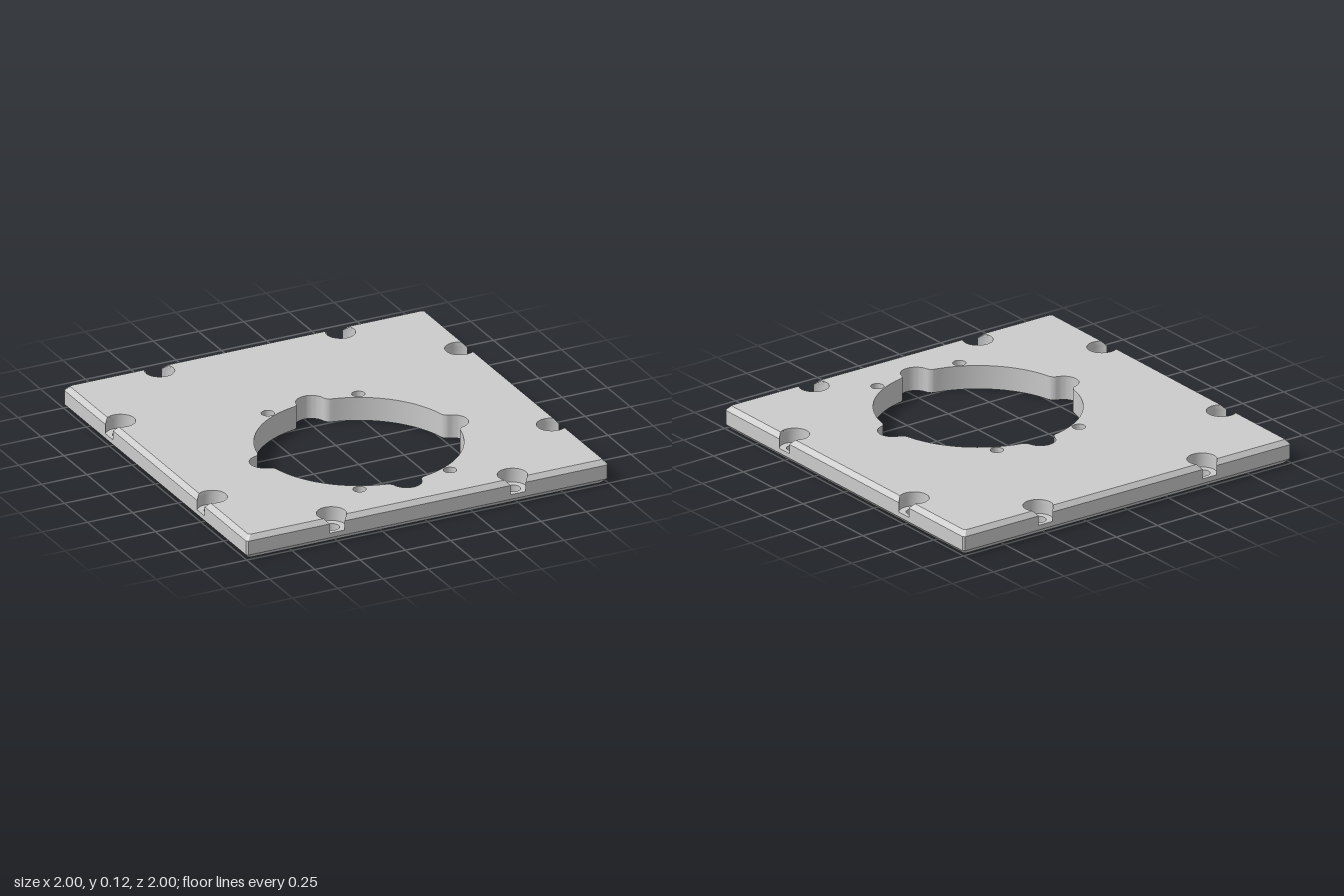
import * as THREE from 'three';
import { mergeGeometries, toCreasedNormals } from 'three/addons/utils/BufferGeometryUtils.js';

const H = 0.125, CHAMFER = 0.022, LOW = 0.025, HIGH = 0.1;  // plate height and chamfer levels
const SEAT_Y = 0.05, SEAT_R = 0.075, BOLT_R = 0.04, BOLT_AT = 0.9375;
const material = new THREE.MeshStandardMaterial({ color: 0xcccccc });

// Plan coordinates are (x, -z), so loops run counter-clockwise seen from above
function arc(cx, cy, r, from, to, n) {
  const pts = [];
  for (let i = 0; i <= n; i++) {
    const a = from + (to - from) * i / n;
    pts.push(new THREE.Vector2(cx + r * Math.cos(a), cy + r * Math.sin(a)));
  }
  return pts;
}
const circle = (x, y, r) => arc(x, y, r, 0, Math.PI * 2, 40).slice(0, -1);
const turn = (pts, k) => pts.map(p => p.clone().rotateAround(new THREE.Vector2(), k * Math.PI / 2));
const fourTimes = pts => [0, 1, 2, 3].flatMap(k => turn(pts, k));

// Bite of a counterbore where it breaks through the edge at x = h
function bite(h, y) {
  const t = Math.acos((h - BOLT_AT) / SEAT_R);
  return arc(BOLT_AT, y, SEAT_R, -t, t - Math.PI * 2, 32);
}

// Square outline with tiny corner cuts, optionally bitten by the counterbores
function outline(inset, bitten) {
  const h = 1 - inset, k = 0.01;
  const side = [new THREE.Vector2(h, -h + k)];
  if (bitten) side.push(...bite(h, -0.5), ...bite(h, 0.5));
  side.push(new THREE.Vector2(h, h - k));
  return fourTimes(side);
}

// Large round opening with four filleted lobes
function openingLoop() {
  const R = 0.518, d = 0.52, r = 0.077, f = 0.04;
  const A = Math.acos(((R + f) ** 2 + d * d - (r + f) ** 2) / (2 * (R + f) * d));
  const fx = (R + f) * Math.cos(A), fy = (R + f) * Math.sin(A);
  const B = Math.atan2(fy, d - fx);
  const quarter = [
    ...arc(fx, -fy, f, Math.PI - A, B, 10),
    ...arc(d, 0, r, B - Math.PI, Math.PI - B, 24).slice(1),
    ...arc(fx, fy, f, -B, A - Math.PI, 10).slice(1),
    ...arc(0, 0, R, A, Math.PI / 2 - A, 32).slice(1, -1),
  ];
  return fourTimes(quarter).map(p => p.add(new THREE.Vector2(0, -0.25)));
}

// Flat face with holes at height y
function cap(loop, holes, y, down = false) {
  const shape = new THREE.Shape(loop);
  shape.holes = holes.map(h => new THREE.Path(h));
  const g = new THREE.ShapeGeometry(shape);
  g.rotateX(-Math.PI / 2).translate(0, y, 0);
  if (down) g.index.array.reverse();
  const flat = g.toNonIndexed();
  flat.deleteAttribute('uv');
  flat.deleteAttribute('normal');
  return flat;
}

// Wall between two loops of equal length
function wall(lower, y0, upper, y1, inward = false) {
  const pos = [], n = lower.length;
  const put = (p, y) => pos.push(p.x, y, -p.y);
  for (let i = 0; i < n; i++) {
    const a = inward ? (i + 1) % n : i, b = inward ? i : (i + 1) % n;
    put(lower[a], y0); put(lower[b], y0); put(upper[b], y1);
    put(lower[a], y0); put(upper[b], y1); put(upper[a], y1);
  }
  const g = new THREE.BufferGeometry();
  g.setAttribute('position', new THREE.Float32BufferAttribute(pos, 3));
  return g;
}

export function createModel() {
  const group = new THREE.Group();
  group.name = 'mountingPlate';
  const add = (name, parts) => {
    const g = mergeGeometries(parts);
    g.computeVertexNormals();
    const mesh = new THREE.Mesh(toCreasedNormals(g, 0.5), material);
    mesh.name = name;
    group.add(mesh);
  };

  const opening = openingLoop();
  const smallHoles = [];
  for (const x of [-0.25, 0.25]) for (const y of [-0.75, 0.25]) smallHoles.push(circle(x, y, 0.033));
  const boltHoles = [], seats = [];
  for (let k = 0; k < 4; k++) for (const y of [-0.5, 0.5]) {
    boltHoles.push(turn(circle(BOLT_AT, y, BOLT_R), k));
    seats.push(turn(bite(1, y), k));
  }

  // Faces and chamfered rim
  const full = outline(0, false), bottom = outline(CHAMFER, false);
  const bitten = outline(0, true), top = outline(CHAMFER, true);
  add('plateBody', [
    cap(bottom, [opening, ...smallHoles, ...boltHoles], 0, true),
    wall(bottom, 0, full, LOW),
    wall(full, LOW, full, SEAT_Y),
    wall(bitten, SEAT_Y, bitten, HIGH),
    wall(bitten, HIGH, top, H),
    cap(top, [opening, ...smallHoles], H),
  ]);

  // Walls of the through openings
  add('centreOpening', [wall(opening, 0, opening, H, true)]);
  add('smallHoles', smallHoles.map(h => wall(h, 0, h, H, true)));

  // Counterbore floors with their bolt holes
  add('boltSeats', seats.map((s, i) => cap(s, [boltHoles[i]], SEAT_Y)));
  add('boltHoles', boltHoles.map(h => wall(h, 0, h, SEAT_Y, true)));
  return group;
}
